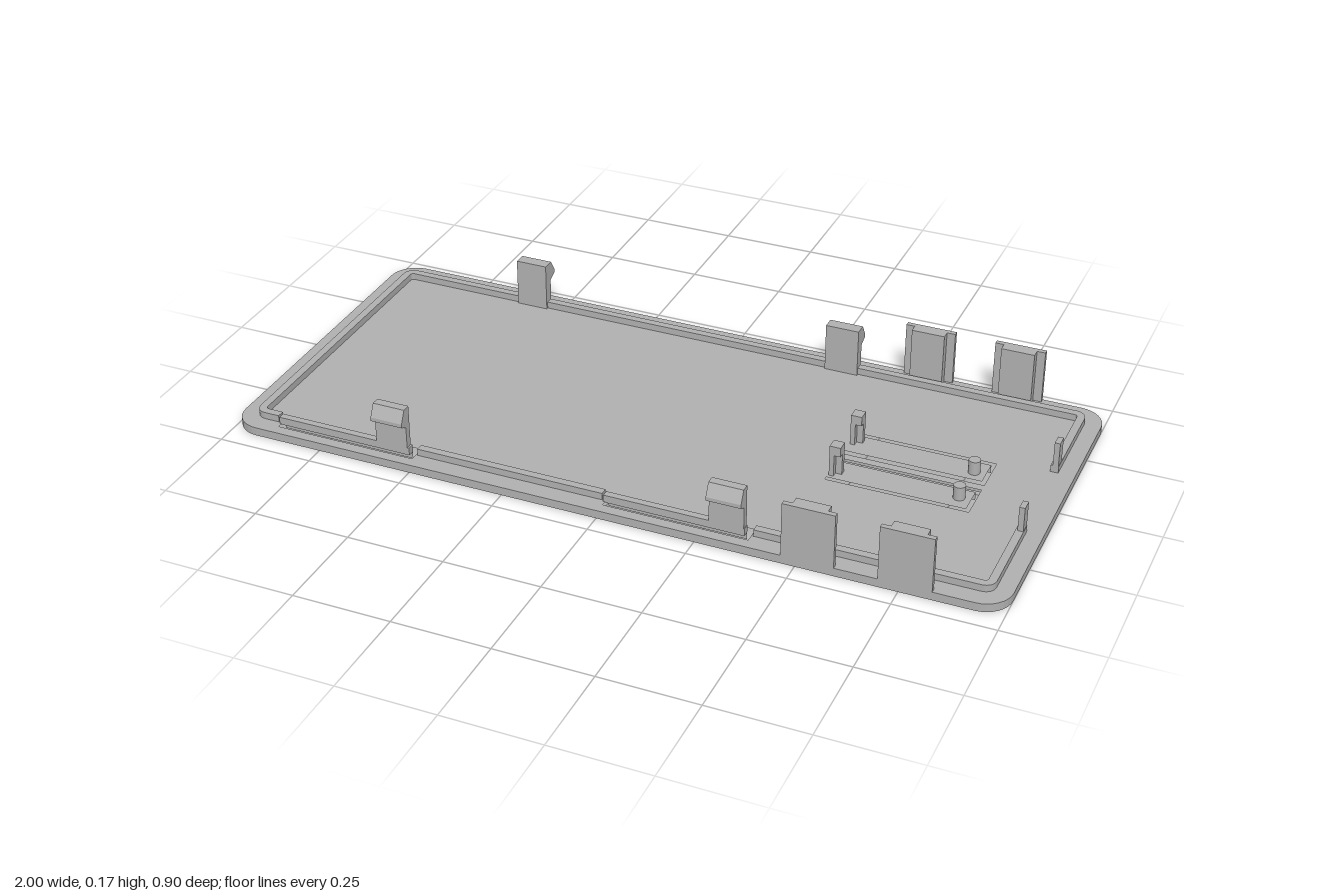
import * as THREE from 'three';

const PLATE = 0.022, RIM = 0.04;

export function createModel() {
  const group = new THREE.Group();
  group.name = 'snapOnCover';
  const grey = new THREE.MeshStandardMaterial({ color: 0xb0b0b0 });
  grey.name = 'grey plastic';

  const add = (name, geometry) => {
    const mesh = new THREE.Mesh(geometry, grey);
    mesh.name = name;
    group.add(mesh);
    return mesh;
  };
  const box = (name, x0, x1, y0, y1, z0, z1) =>
    add(name, new THREE.BoxGeometry(x1 - x0, y1 - y0, z1 - z0)
      .translate((x0 + x1) / 2, (y0 + y1) / 2, (z0 + z1) / 2));
  // plan outlines are given as [x, z] and extruded upwards
  const outline = (pts) => pts.map(([x, z]) => new THREE.Vector2(x, -z));
  const slab = (shape, y0, y1) =>
    new THREE.ExtrudeGeometry(shape, { depth: y1 - y0, bevelEnabled: false })
      .rotateX(-Math.PI / 2).translate(0, y0, 0);
  // quarter circle about a corner, from angle a to b in quarter turns
  const corner = (cx, cz, r, a, b, n = 8) =>
    Array.from({ length: n + 1 }, (_, i) => {
      const t = (a + (b - a) * i / n) * Math.PI / 2;
      return [cx + r * Math.cos(t), cz + r * Math.sin(t)];
    });

  // base plate with rounded corners and U-shaped slots around the flexible arms
  const plate = new THREE.Shape(outline([
    ...corner(0.93, 0.38, 0.07, 0, 1), ...corner(-0.93, 0.38, 0.07, 1, 2),
    ...corner(-0.93, -0.38, 0.07, 2, 3), ...corner(0.93, -0.38, 0.07, 3, 4),
  ]));
  const uSlot = (x0, x1, z0, z1, wallA, wallB, end) =>
    plate.holes.push(new THREE.Path(outline([
      [x0, z0], [x1, z0], [x1, z1], [x0, z1],
      [x0, z1 - wallB], [x1 - end, z1 - wallB], [x1 - end, z0 + wallA], [x0, z0 + wallA],
    ])));
  const frontArms = [[-0.88, -0.505], [0.005, 0.375]];
  for (const [x0, x1] of frontArms) uSlot(x0, x1, 0.376, 0.422, 0.014, 0.014, 0.015);
  uSlot(0.45, 0.81, -0.115, -0.013, 0.01, 0.014, 0.01);
  uSlot(0.45, 0.81, 0.009, 0.111, 0.014, 0.01, 0.01);
  add('basePlate', slab(plate, 0, PLATE));

  // locating rim, open at the right end and at the front arms
  const X = 0.93, Z = 0.375, RO = 0.028, RI = 0.008;
  const longRim = new THREE.Shape(outline([
    [X + RO, -0.135], ...corner(X, -Z, RO, 0, -1), ...corner(-X, -Z, RO, 3, 2),
    ...corner(-X, Z, RO, 2, 1), [-0.89, Z + RO],
    [-0.89, Z + RI], ...corner(-X, Z, RI, 1, 2),
    ...corner(-X, -Z, RI, 2, 3), ...corner(X, -Z, RI, -1, 0), [X + RI, -0.135],
  ]));
  add('backRim', slab(longRim, PLATE - 0.002, RIM));
  const shortRim = new THREE.Shape(outline([
    [X + RO, 0.135], ...corner(X, Z, RO, 0, 1), [0.38, Z + RO],
    [0.38, Z + RI], ...corner(X, Z, RI, 1, 0), [X + RI, 0.135],
  ]));
  add('frontRightRim', slab(shortRim, PLATE - 0.002, RIM));
  box('frontMiddleRim', -0.5, -0.005, PLATE - 0.002, RIM, Z + RI, Z + RO);

  // snap clips: stem with an outward hook, drawn as a side profile [out, y]
  const clip = (name, x0, x1, inner, outer, hook, side) => {
    const p = [[inner, 0.02], [outer, 0.02], [outer, 0.098], [hook, 0.108],
      [hook, 0.118], [outer + 0.004, 0.15], [inner, 0.15]];
    const shape = new THREE.Shape(p.map(([o, y]) => new THREE.Vector2(o * side, y)));
    const geo = new THREE.ExtrudeGeometry(shape, { depth: x1 - x0, bevelEnabled: false });
    add(name, geo.rotateY(-Math.PI / 2).translate(x1, 0, 0));
  };
  for (const [x0, x1] of [[-0.61, -0.525], [0.27, 0.358]]) {
    clip('frontClip', x0, x1, 0.39, 0.408, 0.428, 1);
    clip('backClip', x0, x1, 0.377, 0.405, 0.43, -1);
  }
  for (const [x0, x1] of frontArms)
    box('frontArmRib', x0 - 0.005, x1 - 0.015, PLATE - 0.002, RIM, 0.39, 0.408);

  // tall T-section tabs on both long edges
  for (const side of [1, -1])
    for (const x of [0.53, 0.765]) {
      const z = (a, b) => (side > 0 ? [a, b] : [-b, -a]);
      box('tabPlate', x - 0.065, x + 0.065, 0.01, 0.165, ...z(0.437, 0.45));
      box('tabRib', x - 0.043, x + 0.043, 0.01, 0.165, ...z(0.415, 0.438));
    }

  // posts at the right end, button pins and arm-root hooks
  for (const side of [1, -1]) {
    const c = 0.15 * side;
    box('endPost', 0.943, 0.957, 0.02, 0.105, c - 0.015, c + 0.015);
    add('buttonPin', new THREE.CylinderGeometry(0.015, 0.015, 0.04, 24))
      .position.set(0.77, 0.038, 0.06 * side);
    const h = 0.076 * side;
    box('hookPost', 0.452, 0.464, 0.02, 0.105, h - 0.015, h + 0.015);
    box('hookStem', 0.463, 0.48, 0.02, 0.105, h - 0.015, h);
    box('hookHead', 0.463, 0.48, 0.08, 0.105, h, h + 0.015);
  }
  return group;
}
